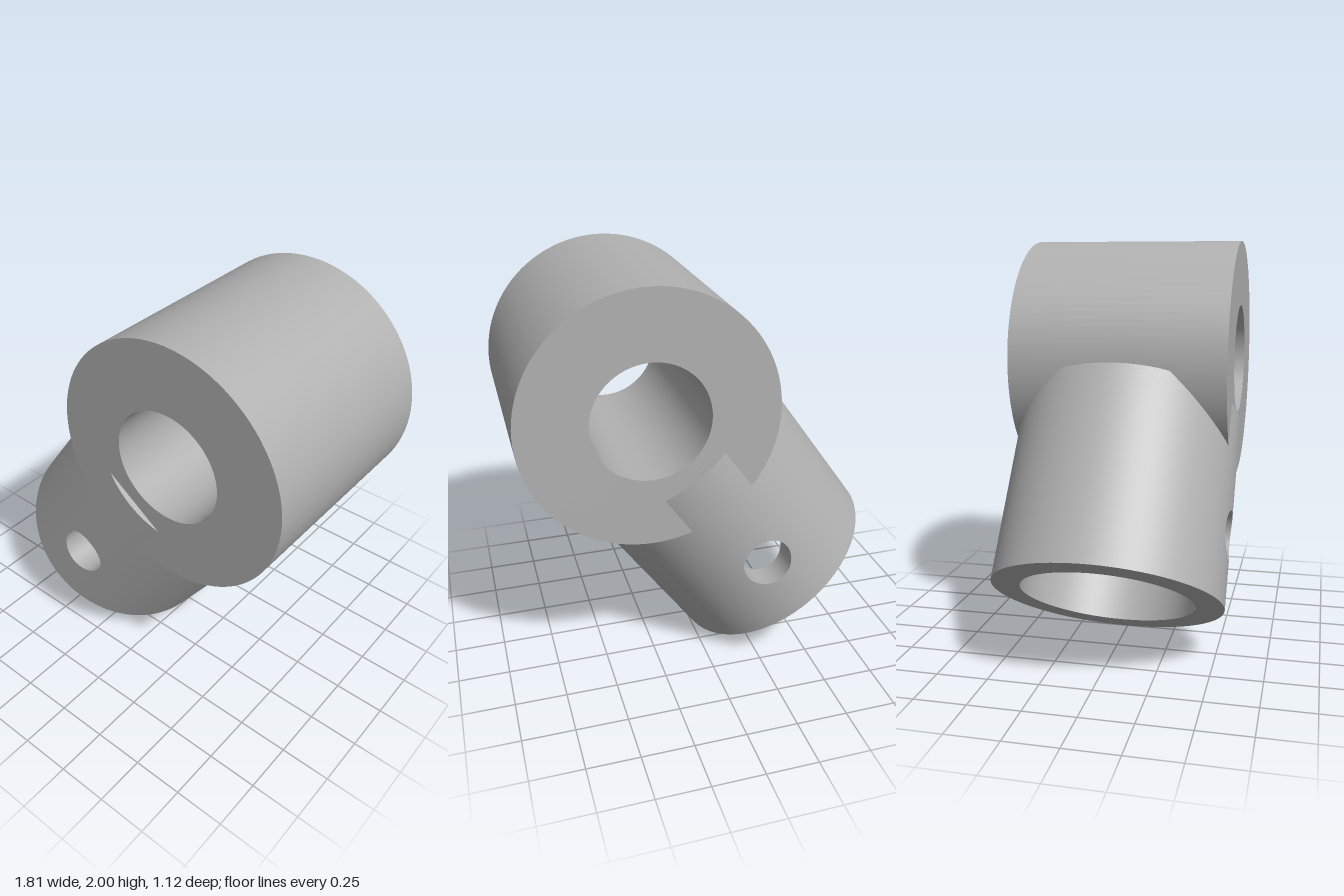
import * as THREE from 'three';
import { mergeGeometries } from 'three/addons/utils/BufferGeometryUtils.js';

const RING = { outer: 0.598, inner: 0.275, half: 0.53 };
const STEM = { outer: 0.558, inner: 0.42, length: 0.968 };
const HOLE = { r: 0.121, y: 0.35 };

// Revolves each profile edge separately so that corners stay sharp.
function sharpLathe(points, closed) {
  const parts = [];
  const count = closed ? points.length : points.length - 1;
  for (let i = 0; i < count; i++) {
    const pair = [points[i], points[(i + 1) % points.length]].map(p => new THREE.Vector2(p[0], p[1]));
    parts.push(new THREE.LatheGeometry(pair, 96));
  }
  return mergeGeometries(parts);
}

// Grid surface; f(i, j) returns [x, y, z, nx, ny, nz].
function grid(f, nu, nv, flip) {
  const pos = [], nor = [], idx = [];
  for (let i = 0; i <= nu; i++) {
    for (let j = 0; j <= nv; j++) {
      const p = f(i, j);
      pos.push(p[0], p[1], p[2]);
      nor.push(p[3], p[4], p[5]);
      if (i === nu || j === nv) continue;
      const a = i * (nv + 1) + j, b = a + 1, d = a + nv + 1, c = d + 1;
      if (flip) idx.push(a, c, b, a, d, c);
      else idx.push(a, b, c, a, c, d);
    }
  }
  const g = new THREE.BufferGeometry();
  g.setAttribute('position', new THREE.Float32BufferAttribute(pos, 3));
  g.setAttribute('normal', new THREE.Float32BufferAttribute(nor, 3));
  g.setIndex(idx);
  return g;
}

const SIDE = 32, AROUND = SIDE * 4, STEPS = 20;

// Counter-clockwise point on the border of the unrolled half wall: [angle, height].
function border(i) {
  const k = i % AROUND, f = (k % SIDE) / SIDE, q = Math.PI / 2, L = STEM.length;
  return [
    [q, f * L],
    [q - 2 * q * f, L],
    [-q, L - f * L],
    [-q + 2 * q * f, 0],
  ][Math.floor(k / SIDE)];
}

const holeAngle = i => {
  const [th, y] = border(i);
  return Math.atan2(y - HOLE.y, th * STEM.outer);
};

// Half of a cylindrical wall, pierced by the round cross hole.
function halfWall(R, inward) {
  const sign = inward ? -1 : 1;
  return grid((i, j) => {
    const a = holeAngle(i), [bt, by] = border(i), v = j / STEPS;
    const th = THREE.MathUtils.lerp(Math.asin(HOLE.r * Math.cos(a) / R), bt, v);
    const y = THREE.MathUtils.lerp(HOLE.y + HOLE.r * Math.sin(a), by, v);
    const s = Math.sin(th), c = Math.cos(th);
    return [R * s, y, R * c, sign * s, 0, sign * c];
  }, AROUND, STEPS, inward);
}

// Inside of the cross hole, from the bore out to the outer wall.
function holeWall() {
  return grid((i, j) => {
    const a = holeAngle(i), c = Math.cos(a), s = Math.sin(a);
    const R = j ? STEM.outer : STEM.inner;
    return [HOLE.r * c, HOLE.y + HOLE.r * s, Math.sqrt(R * R - (HOLE.r * c) ** 2), -c, -s, 0];
  }, AROUND, 1, false);
}

export function createModel() {
  const model = new THREE.Group();
  model.name = 'tubeConnector';
  const grey = new THREE.MeshStandardMaterial({ color: 0xb0b0b0 });
  grey.name = 'plain grey';

  const add = (parent, name, geometry) => {
    const mesh = new THREE.Mesh(geometry, grey);
    mesh.name = name;
    parent.add(mesh);
    return mesh;
  };

  // Horizontal eye with a through bore
  const { outer, inner, half } = RING;
  const eye = add(model, 'eyeRing', sharpLathe(
    [[inner, -half], [outer, -half], [outer, half], [inner, half]], true));
  eye.rotation.x = Math.PI / 2;
  eye.position.set(0.307, 1.402, 0);

  // Tilted hollow stem that runs into the eye
  const stem = new THREE.Group();
  stem.name = 'stem';
  stem.position.set(-0.455, 0.326, 0);
  stem.rotation.z = -0.6226;
  model.add(stem);

  const outerWall = halfWall(STEM.outer, false);
  const boreWall = halfWall(STEM.inner, true);
  const pinHole = holeWall();
  ['front', 'back'].forEach((side, n) => {
    const parts = [
      add(stem, side + 'OuterWall', outerWall),
      add(stem, side + 'BoreWall', boreWall),
      add(stem, side + 'PinHole', pinHole),
    ];
    parts.forEach(m => { m.rotation.y = n * Math.PI; });
  });

  // Flat annular ends of the stem
  add(stem, 'lowerRim', sharpLathe([[STEM.inner, 0], [STEM.outer, 0]], false));
  add(stem, 'upperRim', sharpLathe([[STEM.outer, STEM.length], [STEM.inner, STEM.length]], false));

  return model;
}
